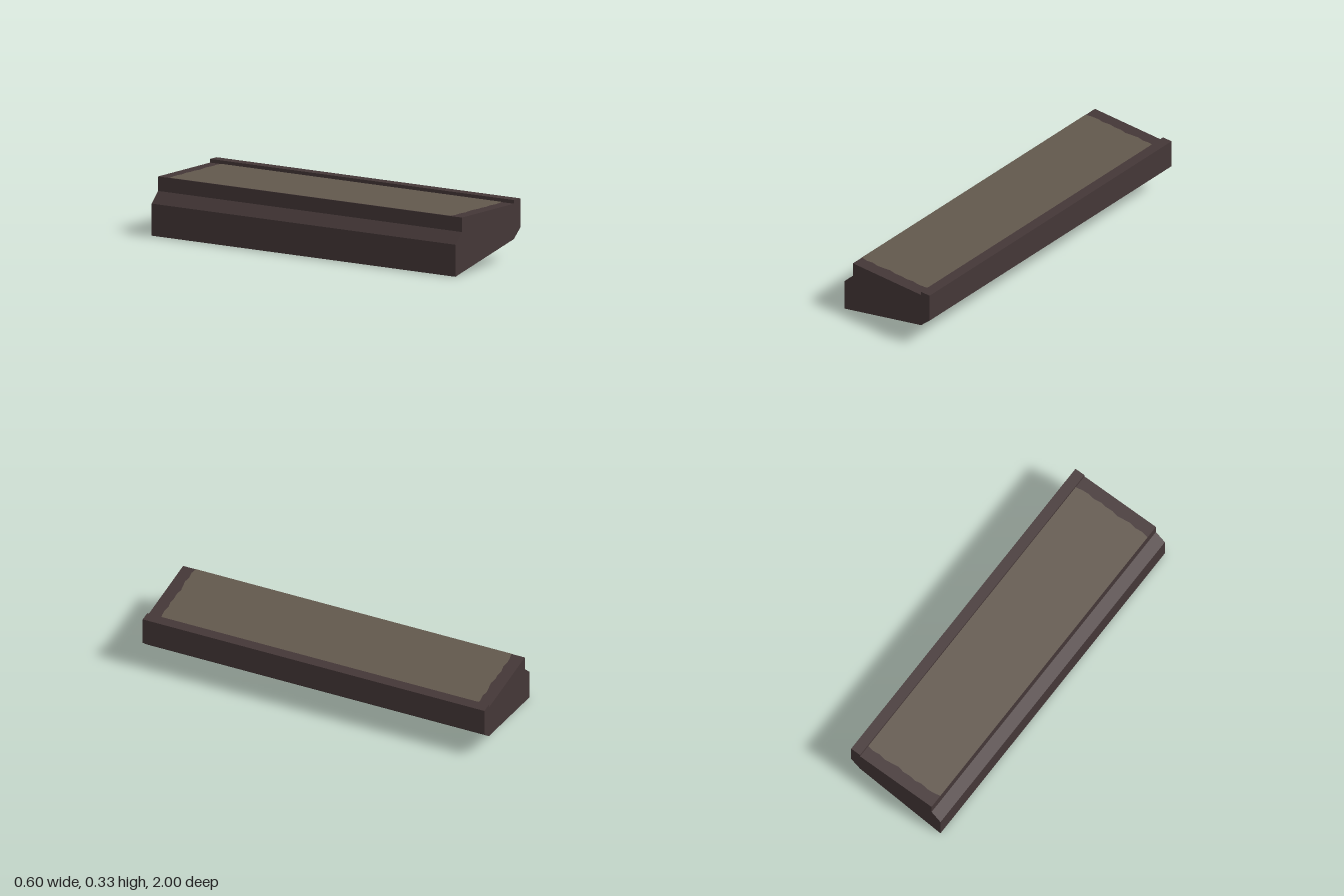
import * as THREE from 'three';

export function createModel() {
  const group = new THREE.Group();
  group.name = 'ledgeBlock';
  const darkStone = new THREE.MeshStandardMaterial({ color: 0x443737 });
  darkStone.name = 'darkStone';
  const wornTan = new THREE.MeshStandardMaterial({ color: 0x62584d });
  wornTan.name = 'wornTan';

  // Ledge body: one cross-section swept along z
  const profile = [
    [-0.3, 0], [0.24, 0.121], [0.3, 0.175], [0.3, 0.334], [0.24, 0.334],
    [0.24, 0.314], [-0.24, 0.314], [-0.24, 0.235], [-0.3, 0.175],
  ].map(([x, y]) => new THREE.Vector2(x, y));
  const bodyGeo = new THREE.ExtrudeGeometry(new THREE.Shape(profile), { depth: 2, bevelEnabled: false });
  bodyGeo.translate(0, 0, -1);
  const body = new THREE.Mesh(bodyGeo, darkStone);
  body.name = 'ledgeBody';
  group.add(body);

  // Worn top surface with softly scalloped ends
  const waves = [0.926, 0.933, 0.928, 0.935, 0.93, 0.924, 0.932, 0.929, 0.934, 0.927, 0.933, 0.93, 0.922];
  const edge = (sign) => waves.map((z, i) => new THREE.Vector2(sign * (-0.24 + 0.48 * i / (waves.length - 1)), sign * -z));
  const top = new THREE.Shape([...edge(1), ...edge(-1)]);
  const topGeo = new THREE.ShapeGeometry(top);
  topGeo.rotateX(-Math.PI / 2);
  topGeo.translate(0, 0.3155, 0);
  const surface = new THREE.Mesh(topGeo, wornTan);
  surface.name = 'wornTopSurface';
  group.add(surface);

  return group;
}
